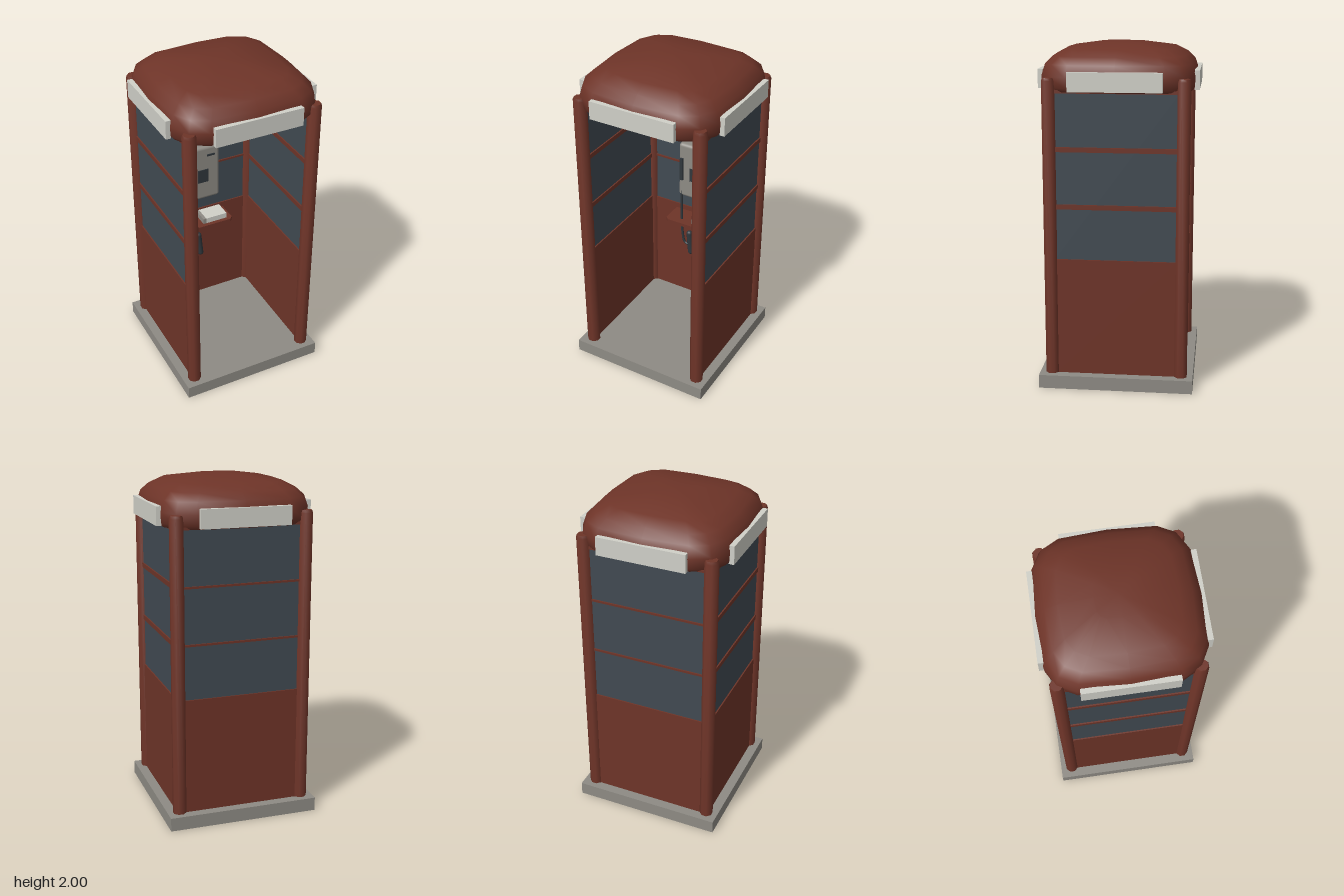
import * as THREE from 'three';
import { mergeVertices, toCreasedNormals } from 'three/addons/utils/BufferGeometryUtils.js';
import { RoundedBoxGeometry } from 'three/addons/geometries/RoundedBoxGeometry.js';

const material = (name, color) => {
  const m = new THREE.MeshStandardMaterial({ color });
  m.name = name;
  return m;
};

export function createModel() {
  const red = material('red paint', 0x6e3428);
  const grey = material('grey concrete', 0x8e8b84);
  const pale = material('pale sign', 0xd0d0c8);
  const cream = material('lamp cream', 0xeee0cc);
  const glass = material('dark glass', 0x414a52);
  const dark = material('dark plastic', 0x30373c);

  const model = new THREE.Group();
  model.name = 'phoneBooth';

  const add = (parent, name, geometry, mat, x = 0, y = 0, z = 0) => {
    const mesh = new THREE.Mesh(geometry, mat);
    mesh.name = name;
    mesh.position.set(x, y, z);
    parent.add(mesh);
    return mesh;
  };
  // Box given by its bottom and top heights
  const slab = (parent, name, mat, w, y0, y1, d, x = 0, z = 0) =>
    add(parent, name, new THREE.BoxGeometry(w, y1 - y0, d), mat, x, (y0 + y1) / 2, z);

  // Floor plinth
  slab(model, 'base', grey, 0.9, 0, 0.08, 0.9);

  // Corner posts with slightly eased tops
  const postProfile = [[0, 0.08], [0.04, 0.08], [0.04, 1.8], [0.034, 1.815], [0, 1.815]]
    .map(([r, y]) => new THREE.Vector2(r, y));
  const postGeometry = toCreasedNormals(
    new THREE.LatheGeometry(postProfile, 8, Math.PI / 8), 0.9);
  for (const x of [-0.378, 0.378]) {
    for (const z of [-0.378, 0.378]) add(model, 'cornerPost', postGeometry, red, x, 0, z);
  }

  // Walls: lower panel, glazing, glazing bars and top rail
  const makeWall = (name, angle, bar, sill, head) => {
    const wall = new THREE.Group();
    wall.name = name;
    slab(wall, 'lowerPanel', red, 0.7, 0.08, sill, 0.03, 0, 0.378);
    slab(wall, 'glazing', glass, 0.7, sill, head, 0.014, 0, 0.378);
    for (const y of [1.085, 1.415]) {
      slab(wall, 'glazingBar', red, 0.7, y - bar / 2, y + bar / 2, 0.03, 0, 0.378);
    }
    slab(wall, 'topRail', red, 0.7, head, 1.75, 0.03, 0, 0.378);
    wall.rotation.y = angle;
    model.add(wall);
  };
  makeWall('leftWall', Math.PI / 2, 0.028, 0.775, 1.73);
  makeWall('rightWall', -Math.PI / 2, 0.028, 0.775, 1.73);
  makeWall('backWall', Math.PI, 0.012, 0.765, 1.735);

  // Domed roof: a lathe squared off into a rounded square plan
  const roofProfile = [[0, 1.737], [0.43, 1.737], [0.447, 1.76], [0.45, 1.82], [0.43, 1.885],
    [0.385, 1.928], [0.315, 1.965], [0.13, 1.994], [0, 2]].map(([r, y]) => new THREE.Vector2(r, y));
  let roof = new THREE.LatheGeometry(roofProfile, 16);
  const p = roof.attributes.position;
  const square = (v, r) => Math.sign(v) * r * Math.sqrt(Math.abs(v) / r);
  for (let i = 0; i < p.count; i++) {
    const x = p.getX(i), z = p.getZ(i), r = Math.hypot(x, z);
    if (r > 1e-6) {
      p.setX(i, Math.abs(x) < 1e-6 ? 0 : square(x, r));
      p.setZ(i, Math.abs(z) < 1e-6 ? 0 : square(z, r));
    }
  }
  roof.deleteAttribute('uv');
  roof.deleteAttribute('normal');
  roof = toCreasedNormals(mergeVertices(roof, 1e-4), 0.9);
  add(model, 'roof', roof, red);

  // Blank sign boards on all four sides
  for (let i = 0; i < 4; i++) {
    const side = new THREE.Group();
    side.name = 'signSide';
    slab(side, 'signBoard', pale, 0.525, 1.745, 1.853, 0.03, 0, 0.443);
    side.rotation.y = i * Math.PI / 2;
    model.add(side);
  }

  // Ceiling lamp
  slab(model, 'ceilingLamp', cream, 0.3, 1.718, 1.74, 0.3);

  // Telephone on the back wall
  const phone = new THREE.Group();
  phone.name = 'telephone';
  model.add(phone);
  add(phone, 'phoneBody', new RoundedBoxGeometry(0.23, 0.378, 0.115, 3, 0.02), grey, 0, 1.1, -0.312);
  slab(phone, 'keypad', dark, 0.07, 1.04, 1.13, 0.008, 0, -0.253);
  slab(phone, 'coinSlot', dark, 0.052, 1.222, 1.234, 0.008, 0.053, -0.253);
  slab(phone, 'cradle', dark, 0.02, 1.035, 1.19, 0.016, -0.09, -0.25);

  // Hanging cord and handset
  const cord = new THREE.CatmullRomCurve3([
    [-0.095, 0.95, -0.262], [-0.095, 0.8, -0.262], [-0.088, 0.63, -0.262],
    [-0.07, 0.555, -0.262], [-0.035, 0.545, -0.262],
  ].map((v) => new THREE.Vector3(...v)));
  add(phone, 'cord', new THREE.TubeGeometry(cord, 32, 0.008, 8), dark);
  const handset = add(phone, 'handset', new THREE.CapsuleGeometry(0.019, 0.14, 4, 12), dark,
    -0.03, 0.567, -0.26);
  handset.rotation.z = 0.09;

  // Shelf with clipped front corners, and a directory lying on it
  const outline = new THREE.Shape([[-0.19, 0.37], [0.19, 0.37], [0.19, 0.23], [0.17, 0.21],
    [-0.17, 0.21], [-0.19, 0.23]].map(([x, y]) => new THREE.Vector2(x, y)));
  const shelfGeometry = new THREE.ExtrudeGeometry(outline, { depth: 0.022, bevelEnabled: false });
  shelfGeometry.rotateX(-Math.PI / 2);
  add(model, 'shelf', shelfGeometry, red, 0, 0.71, 0);
  slab(model, 'directoryPages', pale, 0.145, 0.732, 0.768, 0.11, 0.082, -0.29);
  slab(model, 'directorySpine', grey, 0.02, 0.732, 0.768, 0.11, 0, -0.29);

  return model;
}
